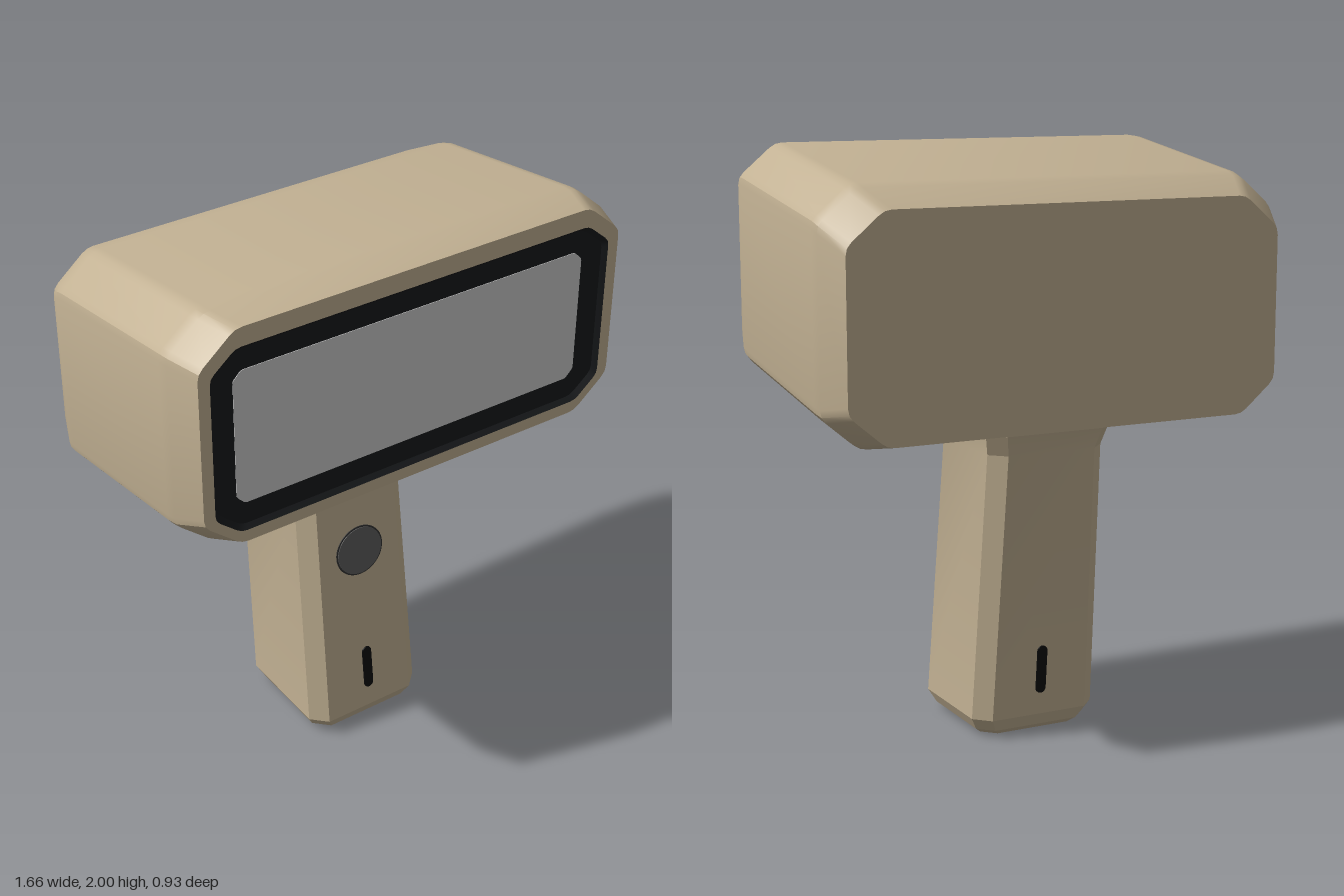
import * as THREE from 'three';
import { toCreasedNormals } from 'three/addons/utils/BufferGeometryUtils.js';

// Octagon (a rectangle with cut corners), counter-clockwise; r softens each corner.
function octagon(hw, y0, y1, cx, cy, r = 0) {
  const c = [
    [hw, y0 + cy], [hw, y1 - cy], [hw - cx, y1], [cx - hw, y1],
    [-hw, y1 - cy], [-hw, y0 + cy], [cx - hw, y0], [hw - cx, y0],
  ].map(([x, y]) => new THREE.Vector2(x, y));
  if (!r) return c;
  return c.flatMap((v, i) => {
    const toward = (k) => c[(i + k) % 8].clone().sub(v).setLength(r).add(v);
    const a = toward(7), b = toward(1);
    const mid = a.clone().add(b).multiplyScalar(0.25).addScaledVector(v, 0.5);
    return [a, mid, b];
  });
}

// Skin a list of rings of Vector3, optionally closing the first and last.
function loft(rings, capStart, capEnd, crease) {
  const n = rings[0].length, index = [];
  for (let i = 0; i < rings.length - 1; i++) {
    for (let j = 0; j < n; j++) {
      const a = i * n + j, b = i * n + (j + 1) % n;
      index.push(a, b, b + n, a, b + n, a + n);
    }
  }
  const last = (rings.length - 1) * n;
  for (let j = 1; j < n - 1; j++) {
    if (capStart) index.push(0, j + 1, j);
    if (capEnd) index.push(last, last + j, last + j + 1);
  }
  const g = new THREE.BufferGeometry().setFromPoints(rings.flat());
  g.setIndex(index);
  return toCreasedNormals(g, crease);
}

const atZ = (points, z) => points.map((p) => new THREE.Vector3(p.x, p.y, z));

export function createModel() {
  const model = new THREE.Group();
  model.name = 'handheldScanner';
  const paint = (color) => new THREE.MeshStandardMaterial({ color });
  const tan = paint(0xc2b193), black = paint(0x17191b), slotBlack = paint(0x0a0a0a);
  const add = (name, geometry, material, parent = model) => {
    const mesh = new THREE.Mesh(geometry, material);
    mesh.name = name;
    parent.add(mesh);
    return mesh;
  };

  // Head: octagonal sections from back to front [z, half width, bottom, top]
  const head = [
    [-0.465, 0.78, 1.097, 1.832],
    [-0.35, 0.826, 1.076, 1.892],
    [-0.31, 0.83, 1.083, 1.905],
    [0.31, 0.83, 1.177, 1.998],
    [0.35, 0.826, 1.184, 2.0],
    [0.465, 0.79, 1.228, 1.99],
  ].map(([z, w, y0, y1]) => atZ(octagon(w, y0, y1, 0.13, 0.11, 0.025), z));
  const opening = octagon(0.75, 1.27, 1.925, 0.09, 0.075, 0.02);
  head.push(atZ(opening, 0.465));
  add('head', loft(head, true, false, 0.42), tan);

  // Dark bezel sloping in to the screen
  const pane = octagon(0.66, 1.355, 1.83, 0.03, 0.03, 0.008);
  const lip = octagon(0.735, 1.285, 1.91, 0.085, 0.07, 0.02);
  add('bezel', loft([atZ(opening, 0.465), atZ(lip, 0.45), atZ(pane, 0.44)], false, false, 0.5), black);
  add('screen', loft([atZ(pane, 0.435), atZ(pane, 0.442)], false, true, 0.3), paint(0xdadcd8));

  // Handle: raked octagonal column [y, half width, front z, back z, chamfer]
  const handle = [
    [0, 0.18, 0.18, -0.19, 0.045],
    [0.02, 0.205, 0.205, -0.215, 0.05],
    [0.065, 0.23, 0.227, -0.238, 0.053],
    [1.0, 0.213, 0.117, -0.325, 0.052],
    [1.07, 0.23, 0.13, -0.35, 0.053],
    [1.2, 0.23, 0.125, -0.355, 0.053],
  ].map(([y, w, zf, zb, c]) =>
    octagon(w, -zf, -zb, c, c).map((p) => new THREE.Vector3(p.x, y, -p.y)));
  add('handle', loft(handle, true, true, 0.3), tan);

  // Groups lying on the raked front and back faces of the handle
  const onFace = (name, y, back) => {
    const t = (y - 0.065) / 0.935;
    const group = new THREE.Group();
    group.name = name;
    group.position.set(0, y, back ? -0.238 - 0.087 * t : 0.227 - 0.11 * t);
    group.rotation.x = -Math.atan(back ? 0.093 : 0.118);
    model.add(group);
    return group;
  };

  // Round button with a thin dark rim
  const button = onFace('button', 0.72, false);
  const disc = (r, h) => new THREE.CylinderGeometry(r, r, h, 48).rotateX(Math.PI / 2);
  add('buttonRim', disc(0.096, 0.006), paint(0x333333), button);
  add('buttonCap', disc(0.09, 0.012), paint(0x5c5c5c), button);

  // Rounded slots near the foot, front and back
  const slot = new THREE.Shape();
  slot.absarc(0, 0.0675, 0.0185, 0, Math.PI);
  slot.absarc(0, -0.0675, 0.0185, Math.PI, Math.PI * 2);
  const slotGeometry = new THREE.ExtrudeGeometry(slot, { depth: 0.01, bevelEnabled: false, curveSegments: 10 });
  slotGeometry.translate(0, 0, -0.005);
  add('frontSlot', slotGeometry, slotBlack, onFace('frontSlotMount', 0.23, false));
  add('backSlot', slotGeometry, slotBlack, onFace('backSlotMount', 0.23, true));

  return model;
}
